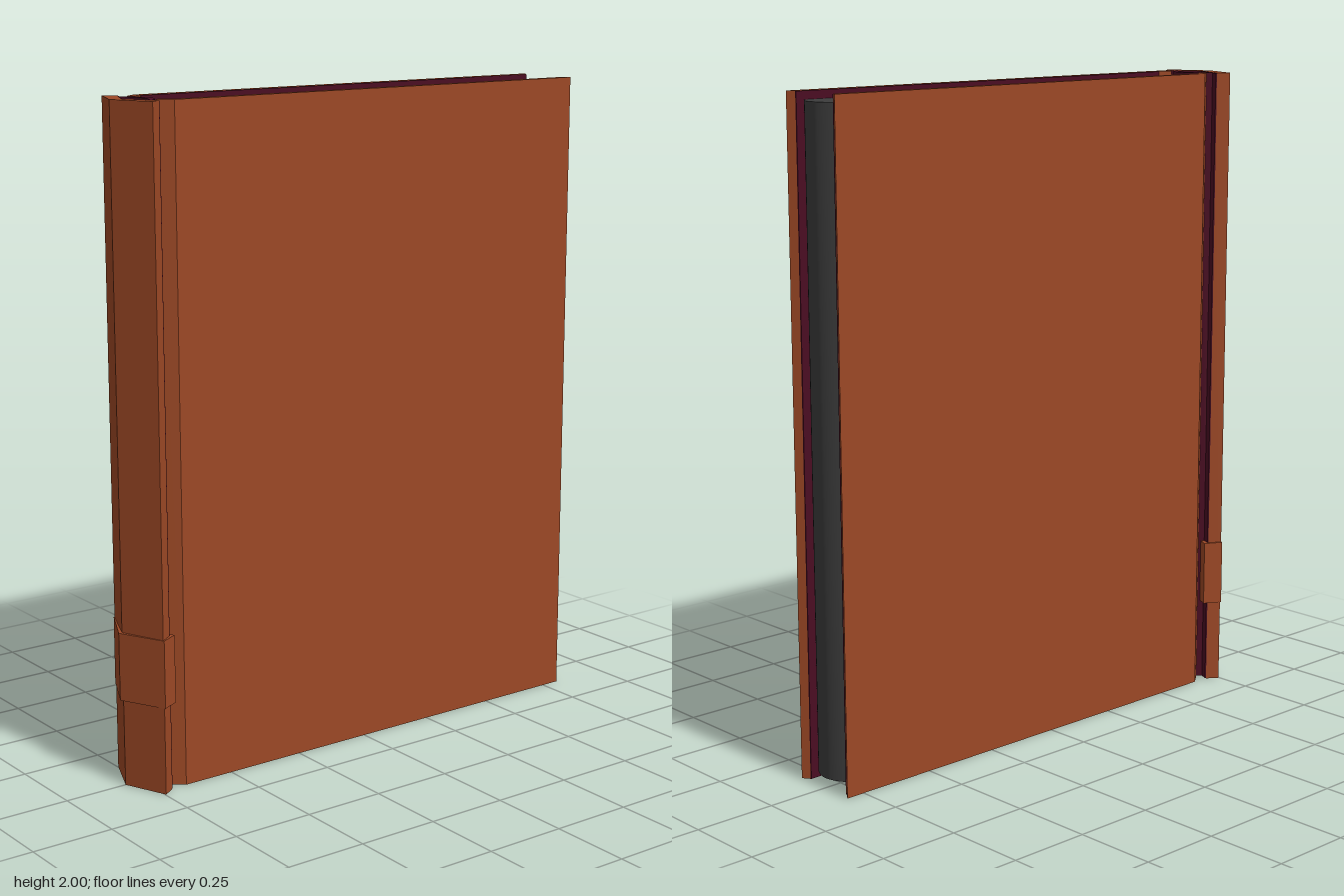
import * as THREE from 'three';
import { toCreasedNormals } from 'three/addons/utils/BufferGeometryUtils.js';

const leather = new THREE.MeshStandardMaterial({ name: 'brown leather', color: 0x9c4825 });
const lining = new THREE.MeshStandardMaterial({ name: 'maroon lining', color: 0x4a0c22 });
const paper = new THREE.MeshStandardMaterial({ name: 'dark grey paper', color: 0x3c3c3c });

// Outline from [x, z] points; four numbers mean a curve [controlX, controlZ, x, z]
function outline(points) {
  const s = new THREE.Shape();
  points.forEach((p, i) => {
    if (i === 0) s.moveTo(p[0], -p[1]);
    else if (p.length === 4) s.quadraticCurveTo(p[0], -p[1], p[2], -p[3]);
    else s.lineTo(p[0], -p[1]);
  });
  return s;
}

// Upright prism standing between two heights
function prism(name, points, y0, y1, material) {
  let geo = new THREE.ExtrudeGeometry(outline(points), { depth: y1 - y0, bevelEnabled: false, curveSegments: 16 });
  geo.rotateX(-Math.PI / 2);
  geo.translate(0, y0, 0);
  geo = toCreasedNormals(geo, 0.4);
  const mesh = new THREE.Mesh(geo, material);
  mesh.name = name;
  return mesh;
}

// V-shaped section from the outline of its front half, mirrored in z
const mirrored = (half) => [...half, ...half.slice().reverse().filter(p => p[1] !== 0).map(([x, z]) => [x, -z])];

export function createModel() {
  const book = new THREE.Group();
  book.name = 'book';

  // Page block: hollow at the spine, rounded at the fore edge
  book.add(prism('pages', [
    [-0.655, 0.08], [0.768, 0.08], [0.842, 0, 0.768, -0.08], [-0.655, -0.08],
    [-0.69, -0.055], [-0.65, 0, -0.69, 0.055],
  ], 0.03, 1.975, paper));

  // Two boards with a bent hinge edge, each lined inside
  for (const [side, s] of [['front', 1], ['back', -1]]) {
    book.add(prism(side + 'Cover', [
      [0.81, 0.107 * s], [-0.66, 0.107 * s], [-0.7, 0.076 * s],
      [-0.685, 0.06 * s], [-0.65, 0.085 * s], [0.795, 0.085 * s],
    ], 0, 2, leather));
    book.add(prism(side + 'Endpaper', [
      [0.795, 0.085 * s], [-0.65, 0.085 * s], [-0.65, 0.081 * s], [0.795, 0.081 * s],
    ], 0.001, 1.999, lining));
  }

  // Curved backing between the pages and the spine
  book.add(prism('backing', [
    [-0.73, 0.09], [-0.66, 0, -0.73, -0.09], [-0.7, -0.065],
    [-0.638, 0, -0.7, 0.065],
  ], 0.001, 1.999, lining));

  // Folded spine and the thin lining on its inner faces
  const spine = [[-0.765, 0], [-0.712, 0.11], [-0.747, 0.134], [-0.803, 0]];
  book.add(prism('spine', mirrored(spine), 0, 2, leather));
  book.add(prism('spineLining', mirrored([[-0.761, 0], [-0.709, 0.108], [-0.712, 0.11], [-0.765, 0]]), 0.001, 1.999, lining));

  // Band wrapped around the lower spine
  book.add(prism('spineBand', mirrored([[-0.755, 0], [-0.693, 0.11], [-0.747, 0.139], [-0.814, 0]]), 0.265, 0.47, leather));

  return book;
}
